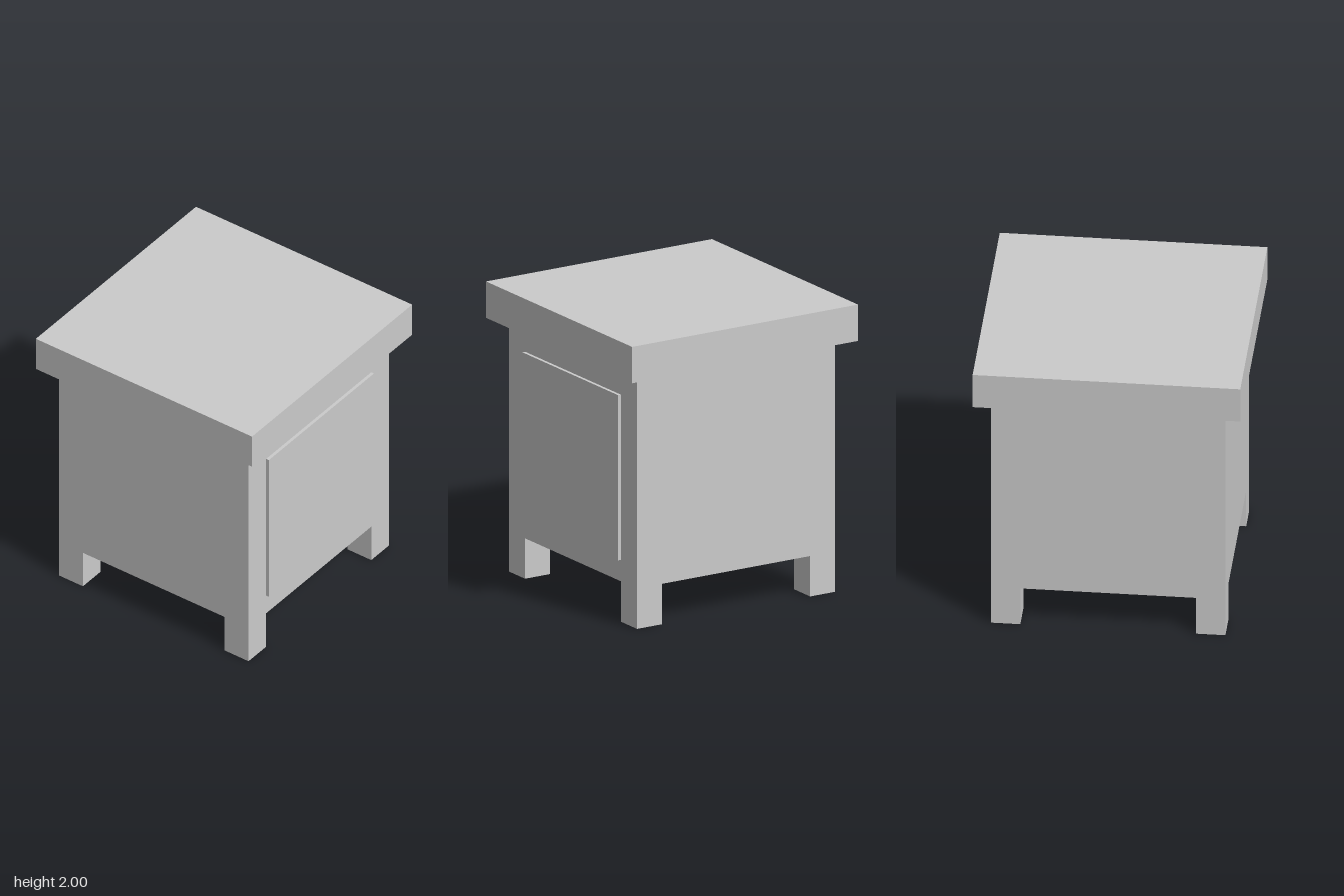
import * as THREE from 'three';

const material = new THREE.MeshStandardMaterial({ color: 0xcccccc, flatShading: true });

// Box whose base sits at height y
function box(name, width, height, depth, x, y, z) {
  const mesh = new THREE.Mesh(new THREE.BoxGeometry(width, height, depth), material);
  mesh.name = name;
  mesh.position.set(x, y + height / 2, z);
  return mesh;
}

export function createModel() {
  const group = new THREE.Group();
  group.name = 'bedsideCabinet';

  const bodyWidth = 1.564;
  const legWidth = 0.197;
  const legHeight = 0.28;
  const topBase = 1.748;

  // Cabinet body and overhanging top
  group.add(box('body', bodyWidth, topBase - legHeight, bodyWidth, 0, legHeight, 0));
  group.add(box('top', 1.784, 2 - topBase, 1.784, 0, topBase, 0));

  // Thin raised door panel on the +x side
  group.add(box('door', 0.022, 1.145, 1.17, bodyWidth / 2 + 0.011, 0.428, 0));

  // Square legs flush with the body corners
  const legOffset = (bodyWidth - legWidth) / 2;
  for (const sx of [-1, 1]) {
    for (const sz of [-1, 1]) {
      const name = (sz > 0 ? 'front' : 'back') + (sx > 0 ? 'Left' : 'Right') + 'Leg';
      group.add(box(name, legWidth, legHeight, legWidth, sx * legOffset, 0, sz * legOffset));
    }
  }

  return group;
}
